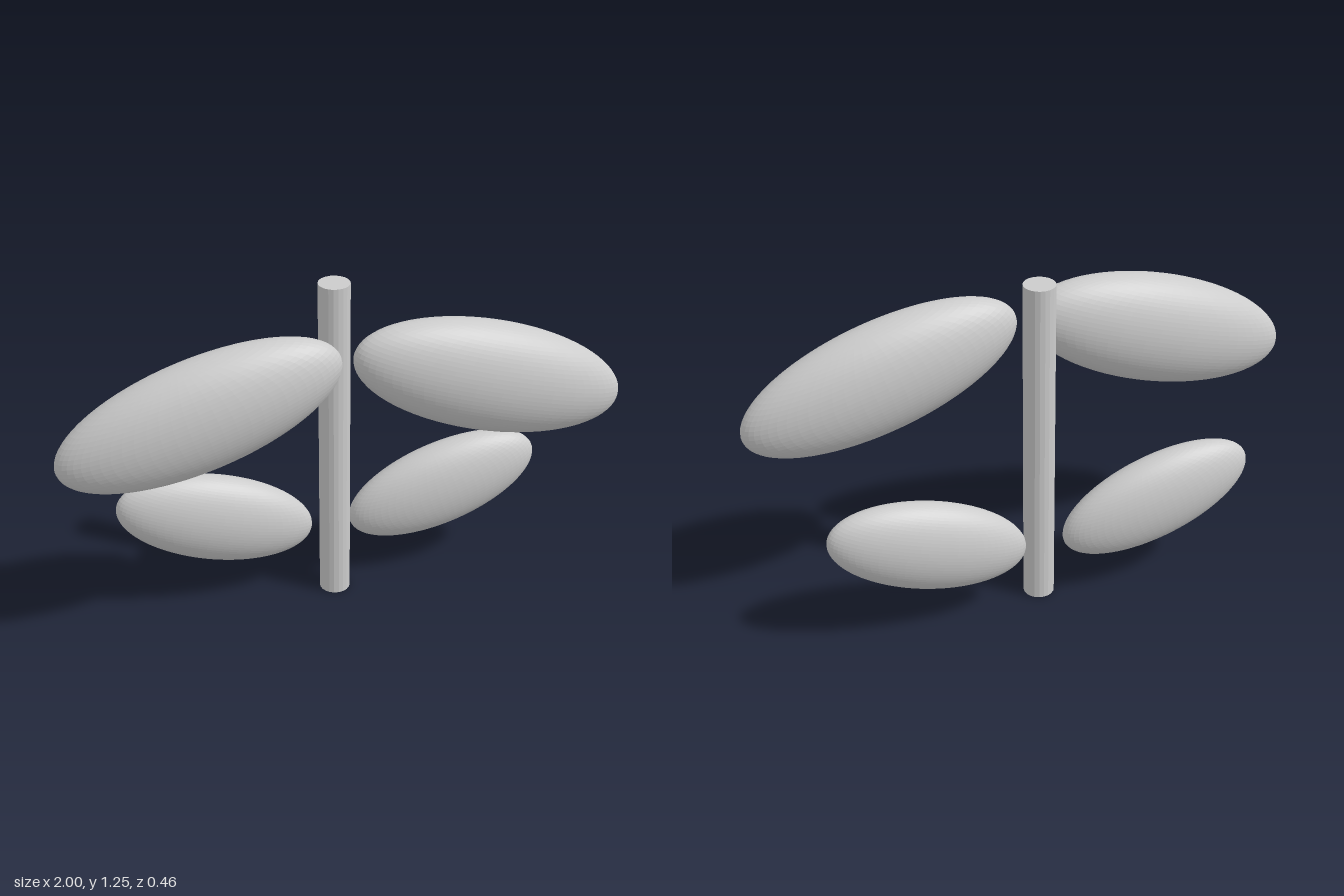
import * as THREE from 'three';

const material = new THREE.MeshStandardMaterial({ color: 0xcccccc, flatShading: true });

// Ellipsoid wing tilted in the x-y plane; side is +1 for left, -1 for right
function wing(name, side, radii, position, tilt) {
  const mesh = new THREE.Mesh(new THREE.SphereGeometry(1, 64, 40), material);
  mesh.name = name;
  mesh.scale.set(...radii);
  mesh.position.set(side * position[0], position[1], position[2]);
  mesh.rotation.z = side * tilt;
  return mesh;
}

export function createModel() {
  const group = new THREE.Group();
  group.name = 'wingedStem';

  // Upright stem
  const stem = new THREE.Mesh(new THREE.CylinderGeometry(0.056, 0.056, 1.25, 20), material);
  stem.name = 'stem';
  stem.position.set(0, 0.625, -0.073);
  group.add(stem);

  // Large upper wings droop outwards in front, small lower wings rise outwards behind
  for (const [label, side] of [['left', 1], ['right', -1]]) {
    group.add(wing(label + 'UpperWing', side, [0.509, 0.203, 0.134], [0.51, 0.91, 0.097], -0.3));
    group.add(wing(label + 'LowerWing', side, [0.371, 0.17, 0.101], [0.43, 0.344, -0.13], 0.3));
  }
  return group;
}
